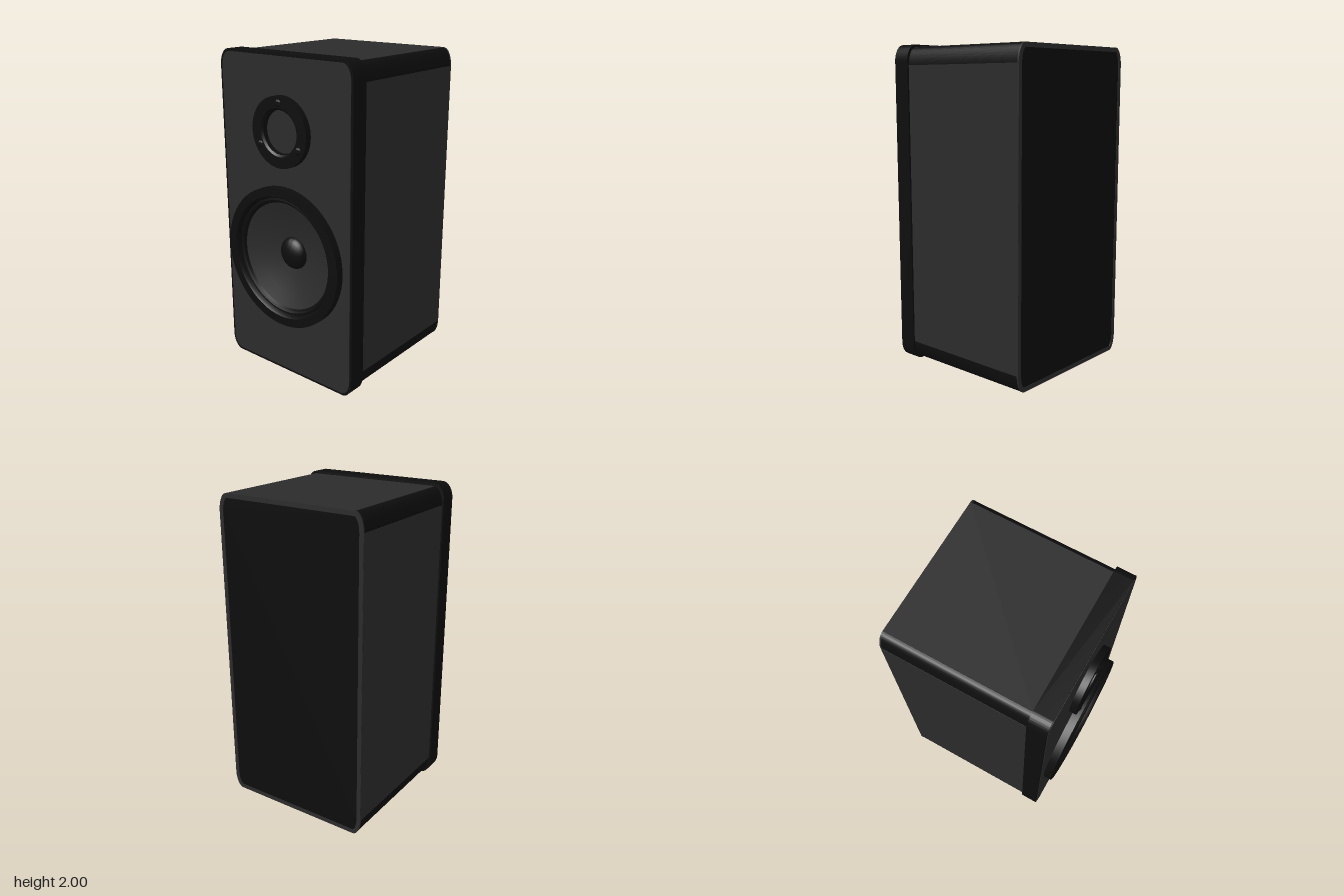
import * as THREE from 'three';
import { toCreasedNormals } from 'three/addons/utils/BufferGeometryUtils.js';

const black = new THREE.MeshStandardMaterial({ color: 0x0d0d0d });
const grey = new THREE.MeshStandardMaterial({ color: 0x2b2b2b });
const MID = 1; // height of the cabinet's middle

// Rounded rectangle (half sizes w, h) with elliptical corners, centred on the middle
function roundedRect(w, h, rx, ry, Type = THREE.Shape) {
  const s = new Type();
  const corners = [[1, 1], [-1, 1], [-1, -1], [1, -1]];
  corners.forEach(([sx, sy], i) => {
    const a = i * Math.PI / 2;
    s.absellipse(sx * (w - rx), MID + sy * (h - ry), rx, ry, a, a + Math.PI / 2, false, 0);
  });
  s.closePath();
  return s;
}

function circleHole(y, r) {
  return new THREE.Path().absarc(0, y, r, 0, Math.PI * 2, true);
}

// Extrudes a shape from z0 to z1
function slab(name, shape, z0, z1, material) {
  const geo = new THREE.ExtrudeGeometry(shape, { depth: z1 - z0, bevelEnabled: false, curveSegments: 16 });
  geo.translate(0, 0, z0);
  const mesh = new THREE.Mesh(toCreasedNormals(geo, 0.5), material);
  mesh.name = name;
  return mesh;
}

// Turns a profile of [radius, z] points about a forward axis at height y
function turned(name, profile, y, material) {
  const geo = new THREE.LatheGeometry(profile.map(([r, z]) => new THREE.Vector2(r, z)), 64);
  geo.rotateX(Math.PI / 2);
  geo.translate(0, y, 0);
  const mesh = new THREE.Mesh(toCreasedNormals(geo, 0.6), material);
  mesh.name = name;
  return mesh;
}

function box(name, w, h, d, x, y, z, material) {
  const mesh = new THREE.Mesh(new THREE.BoxGeometry(w, h, d), material);
  mesh.name = name;
  mesh.position.set(x, y, z);
  return mesh;
}

// Quarter-ellipse dome profile, from rim to tip
function dome(r, z, height) {
  return Array.from({ length: 9 }, (_, i) => {
    const a = i / 8 * Math.PI / 2;
    return [i === 8 ? 0 : r * Math.cos(a), z + height * Math.sin(a)];
  });
}

export function createModel() {
  const model = new THREE.Group();
  model.name = 'loudspeaker';
  const tweeterY = 1.56, wooferY = 0.79;

  // Cabinet: black rounded core, grey side panels, grey rim round the back panel
  const cabinet = new THREE.Group();
  cabinet.name = 'cabinet';
  cabinet.add(slab('cabinetCore', roundedRect(0.493, 0.983, 0.055, 0.11), -0.51, 0.36, black));
  const rim = roundedRect(0.494, 0.984, 0.055, 0.11);
  rim.holes.push(roundedRect(0.468, 0.958, 0.035, 0.09, THREE.Path));
  cabinet.add(slab('backRim', rim, -0.52, -0.51, grey));
  cabinet.add(slab('backPanel', roundedRect(0.47, 0.96, 0.035, 0.09), -0.517, -0.509, black));
  for (const s of [1, -1]) {
    cabinet.add(box(s > 0 ? 'leftPanel' : 'rightPanel', 0.01, 1.75, 0.874, s * 0.49, MID, -0.082, grey));
    cabinet.add(box(s > 0 ? 'topPanel' : 'bottomPanel', 0.88, 0.01, 0.874, 0, MID + s * 0.98, -0.082, grey));
  }
  model.add(cabinet);

  // Front baffle with a thin black border
  const baffle = roundedRect(0.506, 1, 0.07, 0.1);
  baffle.holes.push(circleHole(wooferY, 0.4));
  model.add(slab('baffle', baffle, 0.355, 0.467, black));
  const face = roundedRect(0.491, 0.985, 0.06, 0.09);
  face.holes.push(circleHole(wooferY, 0.4));
  model.add(slab('baffleFace', face, 0.46, 0.47, grey));

  // Tweeter ring with three screws; the grey diaphragm lies at its bottom
  const tweeter = new THREE.Group();
  tweeter.name = 'tweeter';
  tweeter.add(turned('tweeterRing', [[0.21, 0.465], [0.21, 0.51], [0.142, 0.51], [0.13, 0.5], [0.127, 0.468]], tweeterY, black));
  tweeter.add(turned('tweeterDiaphragm', [[0.13, 0.472], [0, 0.472]], tweeterY, grey));
  for (let i = 0; i < 3; i++) {
    const a = Math.PI / 2 + i * Math.PI * 2 / 3;
    const screw = turned('tweeterScrew', dome(0.022, 0.508, 0.012), 0, black);
    screw.position.set(0.17 * Math.cos(a), tweeterY + 0.17 * Math.sin(a), 0);
    tweeter.add(screw);
  }
  model.add(tweeter);

  // Woofer: ring, rolled surround, sunken cone and dust cap
  const woofer = new THREE.Group();
  woofer.name = 'woofer';
  woofer.add(turned('wooferRing', [[0.44, 0.46], [0.44, 0.52], [0.385, 0.52], [0.375, 0.505], [0.37, 0.48]], wooferY, black));
  woofer.add(turned('wooferSurround', [[0.375, 0.48], [0.368, 0.492], [0.358, 0.494], [0.346, 0.488], [0.338, 0.472]], wooferY, black));
  woofer.add(turned('wooferCone', [[0.342, 0.474], [0.27, 0.445], [0.2, 0.422], [0.14, 0.406], [0.09, 0.396]], wooferY, grey));
  woofer.add(turned('dustCap', dome(0.102, 0.396, 0.055), wooferY, black));
  model.add(woofer);

  return model;
}
